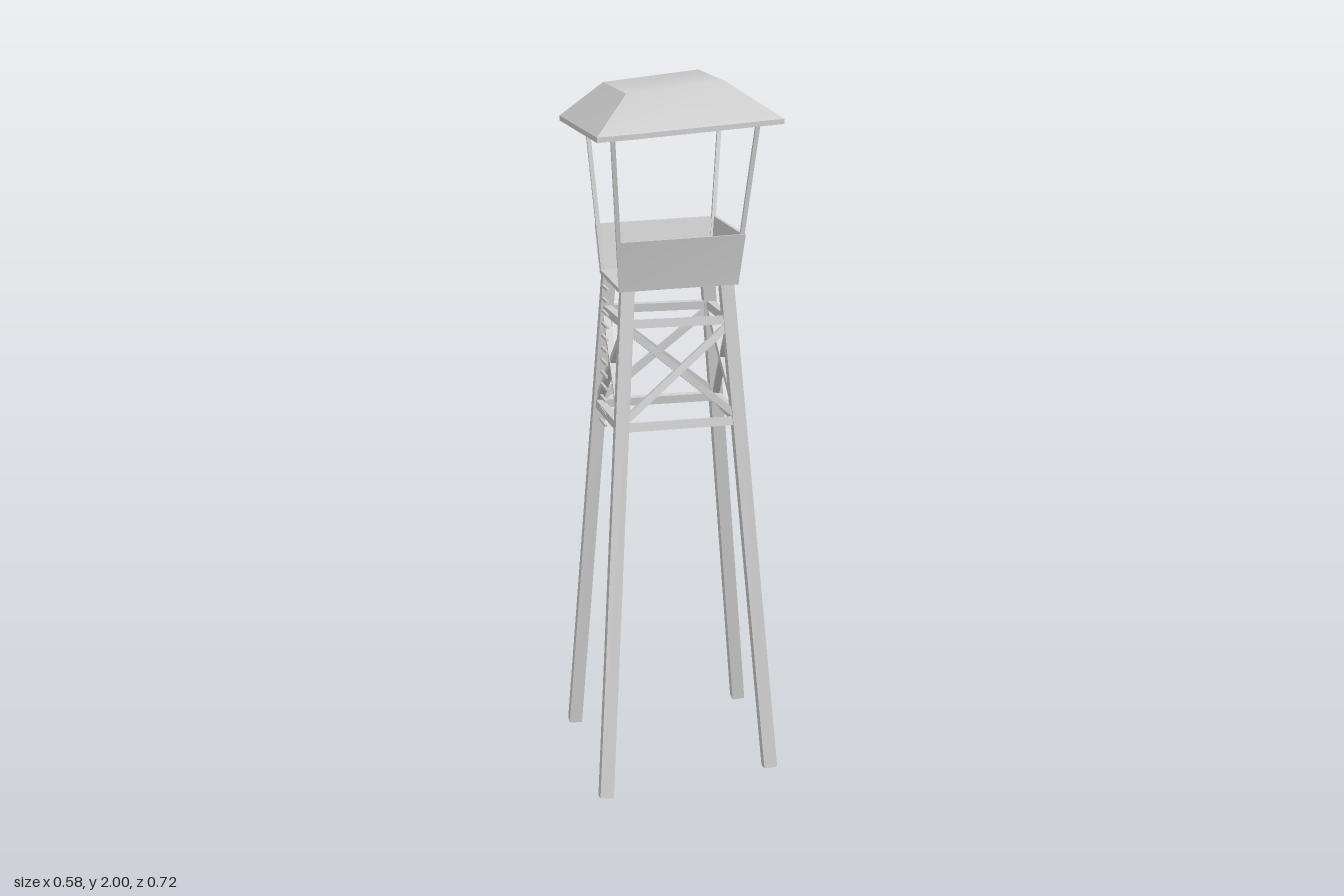
import * as THREE from 'three';

const V = (x, y, z) => new THREE.Vector3(x, y, z);
const grey = new THREE.MeshStandardMaterial({ color: 0xcccccc });

// Corner order everywhere: front -x, front +x, back +x, back -x
const FEET = [V(-0.265, 0.003, 0.34), V(0.23, 0.02, 0.245), V(0.267, 0.022, -0.34), V(-0.268, 0.01, -0.26)];
const LEG_TOPS = [V(-0.165, 1.415, 0.145), V(0.122, 1.42, 0.115), V(0.127, 1.425, -0.17), V(-0.17, 1.42, -0.145)];
const BOX_BOTTOM = [V(-0.195, 1.408, 0.18), V(0.15, 1.418, 0.15), V(0.152, 1.427, -0.207), V(-0.192, 1.417, -0.175)];
const BOX_TOP = [V(-0.205, 1.548, 0.217), V(0.165, 1.56, 0.172), V(0.168, 1.572, -0.233), V(-0.203, 1.56, -0.195)];
const POST_TOPS = [V(-0.225, 1.868, 0.272), V(0.195, 1.9, 0.2), V(0.195, 1.93, -0.292), V(-0.225, 1.912, -0.225)];

function addMesh(group, name, geometry) {
  const mesh = new THREE.Mesh(geometry, grey);
  mesh.name = name;
  group.add(mesh);
  return mesh;
}

// Square bar between two points
function beam(group, name, a, b, width, depth = width) {
  const dir = b.clone().sub(a);
  const mesh = addMesh(group, name, new THREE.BoxGeometry(width, dir.length(), depth));
  mesh.position.copy(a).add(b).multiplyScalar(0.5);
  mesh.quaternion.setFromUnitVectors(V(0, 1, 0), dir.normalize());
  return mesh;
}

// Faces from point loops; shared vertices give smooth shading
function facets(faces, smooth = false) {
  const points = [], index = [];
  for (const face of faces) {
    const ids = face.map((p) => {
      const found = smooth ? points.indexOf(p) : -1;
      return found >= 0 ? found : points.push(p) - 1;
    });
    for (let i = 1; i < ids.length - 1; i++) index.push(ids[0], ids[i], ids[i + 1]);
  }
  const g = new THREE.BufferGeometry().setFromPoints(points);
  g.setIndex(index);
  g.computeVertexNormals();
  return g;
}

// Solid between a lower and an upper four-sided loop
function hexa(low, high) {
  const faces = [[...low].reverse(), high];
  for (let i = 0; i < 4; i++) {
    const j = (i + 1) % 4;
    faces.push([low[i], low[j], high[j], high[i]]);
  }
  return facets(faces);
}

// Truncated hipped roof as a thin shell
function buildRoof() {
  const roof = new THREE.Group();
  roof.name = 'roof';
  const [fl, fr, br, bl] = [V(-0.275, 1.84, 0.335), V(0.252, 1.88, 0.25), V(0.248, 1.902, -0.352), V(-0.29, 1.868, -0.29)];
  const [tfl, tfr, tbr, tbl] = [V(-0.17, 1.947, 0.175), V(0.118, 1.977, 0.11), V(0.112, 2.0, -0.23), V(-0.18, 1.968, -0.16)];
  const kf = V(-0.17, 1.848, 0.33), kb = V(0.112, 1.895, -0.356);
  const middle = [[fl, kf, tfl], [kf, fr, tfr, tfl], [tfl, tfr, tbr, tbl], [tbr, br, kb], [tbr, kb, bl, tbl]];
  const ends = [[fr, br, tbr, tfr], [bl, fl, tfl, tbl]];
  const lowered = new Map([fl, fr, br, bl, tfl, tfr, tbr, tbl, kf, kb].map((p) => [p, V(p.x, p.y - 0.014, p.z)]));
  const under = (faces) => faces.map((f) => f.map((p) => lowered.get(p)).reverse());
  addMesh(roof, 'roofMiddle', facets(middle, true));
  addMesh(roof, 'roofEnds', facets(ends));
  addMesh(roof, 'roofMiddleUnderside', facets(under(middle), true));
  addMesh(roof, 'roofEndsUnderside', facets(under(ends)));
  const rim = [fl, kf, fr, br, kb, bl];
  addMesh(roof, 'roofEdge', facets(rim.map((p, i) => {
    const q = rim[(i + 1) % rim.length];
    return [lowered.get(p), lowered.get(q), q, p];
  })));
  return roof;
}

export function createModel() {
  const tower = new THREE.Group();
  tower.name = 'watchtower';
  const atHeight = (i, y) => FEET[i].clone().lerp(LEG_TOPS[i], (y - FEET[i].y) / (LEG_TOPS[i].y - FEET[i].y));
  const inward = (p) => V(-0.02 + (p.x + 0.02) * 0.95, p.y, -0.01 + (p.z + 0.01) * 0.95);

  for (let i = 0; i < 4; i++) {
    const j = (i + 1) % 4;
    beam(tower, 'leg', FEET[i], LEG_TOPS[i], 0.038);

    // Rails and crossed braces on each side
    for (const y of [1.03, 1.315]) beam(tower, 'rail', atHeight(i, y), atHeight(j, y), 0.024);
    beam(tower, 'crossBrace', atHeight(i, 1.04), atHeight(j, 1.305), 0.02);
    beam(tower, 'crossBrace', atHeight(i, 1.305), atHeight(j, 1.04), 0.02);

    // Cabin walls; the ladder side stays open
    if (i < 3) {
      const low = [BOX_BOTTOM[i], BOX_BOTTOM[j]], high = [BOX_TOP[i], BOX_TOP[j]];
      addMesh(tower, 'cabinWall', hexa(
        [...low, inward(low[1]), inward(low[0])],
        [...high, inward(high[1]), inward(high[0])]));
    }
    beam(tower, 'roofPost', inward(BOX_BOTTOM[i]), POST_TOPS[i], 0.012);
  }

  // Floor
  addMesh(tower, 'floor', hexa(BOX_BOTTOM, BOX_BOTTOM.map((p) => V(p.x, p.y + 0.012, p.z))));

  // Ladder rungs on the open side
  for (let k = 0; k < 12; k++) {
    const t = k / 11, y = 1.0 + 0.395 * t;
    const x = -0.207 + 0.006 * t, z = -0.03 + 0.018 * t;
    beam(tower, 'ladderRung', V(x, y, z - 0.048), V(x, y, z + 0.048), 0.007);
  }

  tower.add(buildRoof());
  return tower;
}
